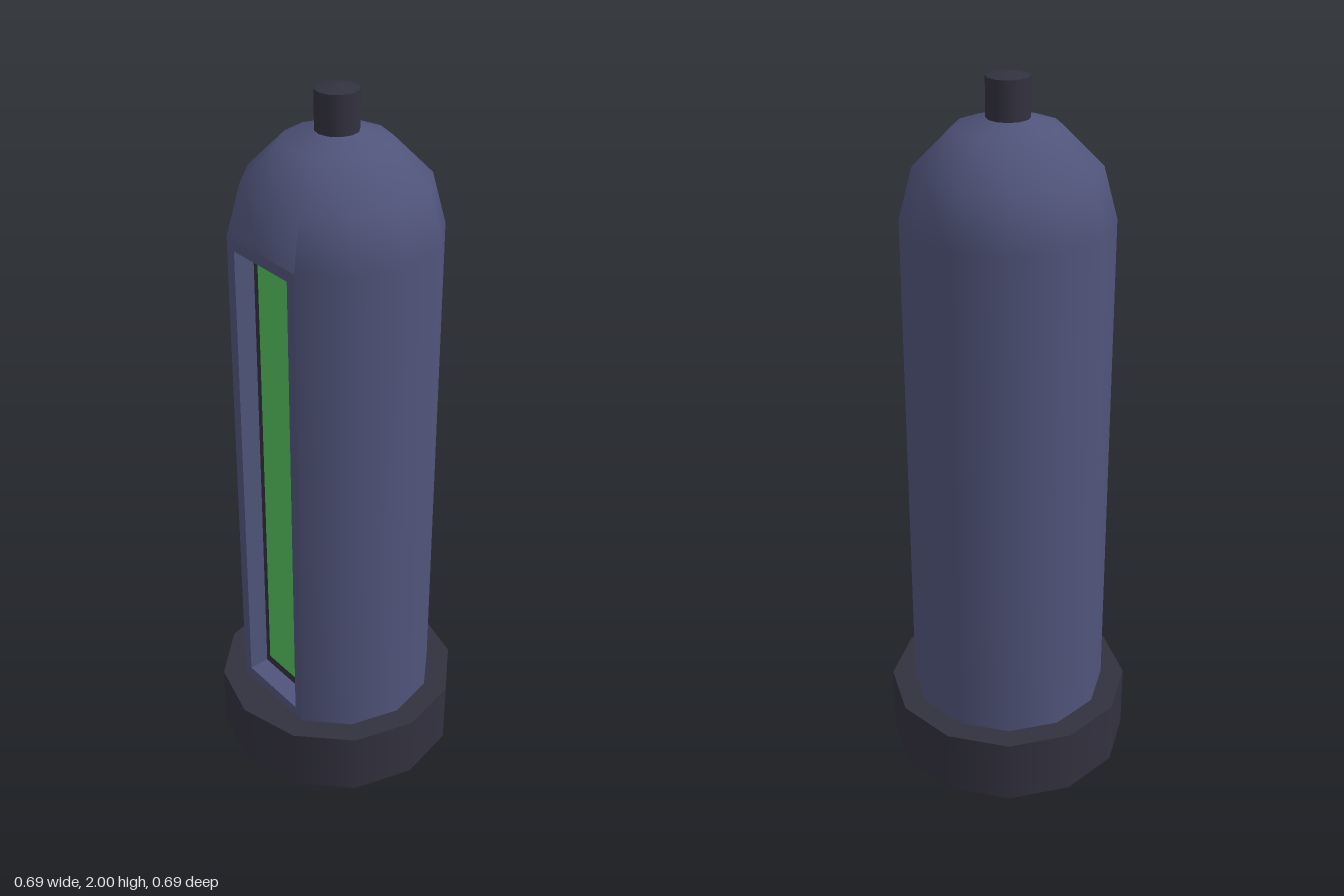
import * as THREE from 'three';

export function createModel() {
  const group = new THREE.Group();
  const mat = (name, color, side = THREE.FrontSide) => {
    const m = new THREE.MeshStandardMaterial({ color, side });
    m.name = name;
    return m;
  };
  const blue = mat('slate blue', 0x50547a);
  const dark = mat('charcoal', 0x32313f);
  const green = mat('green', 0x54bd5c);

  const add = (name, geometry, material) => {
    const mesh = new THREE.Mesh(geometry, material);
    mesh.name = name;
    group.add(mesh);
    return mesh;
  };
  const disc = (r, y, down) => new THREE.CircleGeometry(r, 12)
    .rotateX(down ? Math.PI / 2 : -Math.PI / 2).translate(0, y, 0);

  const R = 0.28, shoulder = 1.62, floorY = 0.19, flatX = R * Math.cos(Math.PI / 6);

  // Foot: wide twelve-sided plinth with a blue underside
  add('base', new THREE.CylinderGeometry(0.347, 0.347, floorY, 12, 1, true).translate(0, floorY / 2, 0), dark);
  add('baseTop', disc(0.347, floorY, false), dark);
  add('baseUnderside', disc(0.347, 0, true), blue);

  // Dome profile: quarter circle in three steps
  const dome = [0, 1, 2, 3].map((i) => {
    const a = (i * Math.PI) / 6;
    return new THREE.Vector2(i === 3 ? 0 : R * Math.cos(a), shoulder + R * Math.sin(a));
  });

  // Shell: ten of twelve sides, open where the flat panel sits at -x
  const start = (300 * Math.PI) / 180;
  add('shell', new THREE.LatheGeometry([new THREE.Vector2(R, floorY), ...dome], 10, start, (Math.PI * 5) / 3), blue);

  // Dome patch above the panel, flattened to the panel plane
  const patch = new THREE.LatheGeometry(dome, 2, (240 * Math.PI) / 180, Math.PI / 3);
  const p = patch.attributes.position;
  for (let i = 0; i < p.count; i++) p.setX(i, Math.max(p.getX(i), -flatX));
  add('domePatch', patch, blue);

  // Flat panel frame around a tall recess
  const depth = 0.06, half = R / 2;
  const rect = (T, w, y0, y1) => {
    const s = new T();
    s.moveTo(-w, y0);
    s.lineTo(w, y0);
    s.lineTo(w, y1);
    s.lineTo(-w, y1);
    s.closePath();
    return s;
  };
  const frame = rect(THREE.Shape, half, floorY, shoulder);
  frame.holes.push(rect(THREE.Path, 0.11, 0.22, 1.59));
  add('panelFrame', new THREE.ExtrudeGeometry(frame, { depth, bevelEnabled: false })
    .rotateY(-Math.PI / 2).translate(depth - flatX, 0, 0), blue);

  // Recess floor and the glowing strip on it
  const backX = depth - flatX;
  add('recessFloor', new THREE.BoxGeometry(0.01, 1.4, 0.24).translate(backX + 0.004, 0.905, 0), dark);
  add('lightStrip', new THREE.BoxGeometry(0.008, 1.3, 0.17).translate(backX - 0.003, 0.905, 0), green);

  // Short stud on top with a shallow crown
  add('stud', new THREE.CylinderGeometry(0.057, 0.057, 0.14, 12, 1, true).translate(0, 1.918, 0), dark);
  add('studCrown', new THREE.ConeGeometry(0.057, 0.012, 12, 1, true).translate(0, 1.994, 0), dark);

  return group;
}
